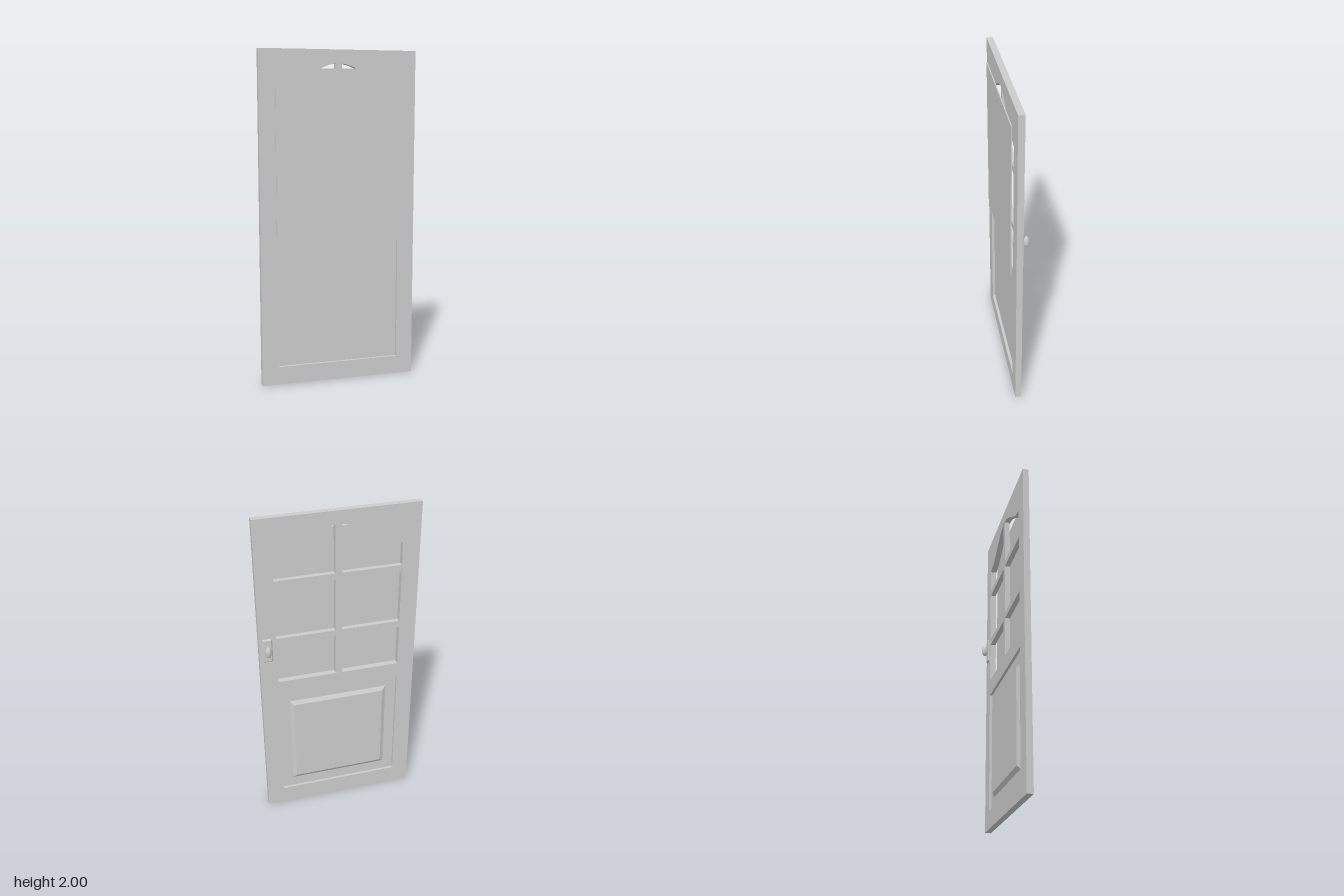
import * as THREE from 'three';

const BACK = -0.006, FRONT = 0.031; // faces of the door leaf

export function createModel() {
  const door = new THREE.Group();
  door.name = 'door';
  const material = new THREE.MeshStandardMaterial({ color: 0xcccccc });

  const add = (name, geometry, x = 0, y = 0, z = 0) => {
    const mesh = new THREE.Mesh(geometry, material);
    mesh.name = name;
    mesh.position.set(x, y, z);
    door.add(mesh);
    return mesh;
  };

  // Box given by its limits
  const slab = (name, x0, x1, y0, y1, z0, z1) =>
    add(name, new THREE.BoxGeometry(x1 - x0, y1 - y0, z1 - z0),
      (x0 + x1) / 2, (y0 + y1) / 2, (z0 + z1) / 2);

  // Box whose back (-z) face is drawn in to leave sloping edges
  const raised = (name, x0, x1, y0, y1, z0, z1, inset) => {
    const mesh = slab(name, x0, x1, y0, y1, z0, z1);
    const p = mesh.geometry.attributes.position;
    for (let i = 0; i < p.count; i++) {
      if (p.getZ(i) < 0) {
        p.setX(i, p.getX(i) - Math.sign(p.getX(i)) * inset);
        p.setY(i, p.getY(i) - Math.sign(p.getY(i)) * inset);
      }
    }
    mesh.geometry.computeVertexNormals();
    return mesh;
  };

  // Stiles and straight rails
  const inner = 0.376;
  slab('leftStile', inner, 0.48, 0, 2, BACK, FRONT);
  slab('rightStile', -0.48, -inner, 0, 2, BACK, FRONT);
  slab('bottomRail', -inner, inner, 0, 0.11, BACK, FRONT);
  slab('middleRail', -inner, inner, 0.855, 0.955, BACK, FRONT);

  // Top rail with an arched lower edge
  const rail = new THREE.Shape();
  rail.moveTo(inner, 2);
  rail.lineTo(-inner, 2);
  const steps = 24;
  for (let i = 0; i <= steps; i++) {
    const x = inner * (2 * i / steps - 1);
    rail.lineTo(x, 1.77 + 0.075 * (1 + Math.cos(Math.PI * x / inner)));
  }
  rail.closePath();
  add('topRail', new THREE.ExtrudeGeometry(rail, { depth: FRONT - BACK, bevelEnabled: false }), 0, 0, BACK);

  // Glazing bars
  slab('verticalBar', -0.02, 0.02, 0.955, 1.93, BACK + 0.002, FRONT - 0.003);
  for (const y of [1.235, 1.605]) {
    slab('horizontalBar', -inner, inner, y - 0.02, y + 0.02, BACK + 0.003, FRONT - 0.004);
  }

  // Window pane standing just off the front face
  slab('windowPane', -0.385, 0.385, 0.918, 1.89, 0.042, 0.048);

  // Lower panel with a raised field on the back
  slab('lowerPanel', -inner, inner, 0.11, 0.855, 0.01, 0.014);
  raised('raisedField', -0.31, 0.31, 0.175, 0.79, -0.005, 0.011, 0.026);

  // Handle plate, neck and oval knob
  raised('handlePlate', 0.4, 0.46, 1.11, 1.265, -0.015, BACK, 0.008);
  const neck = add('knobNeck', new THREE.CylinderGeometry(0.008, 0.008, 0.016, 16), 0.43, 1.19, -0.02);
  neck.rotation.x = Math.PI / 2;
  const knob = add('knob', new THREE.SphereGeometry(0.018, 32, 20), 0.43, 1.19, -0.031);
  knob.scale.y = 2;

  return door;
}
